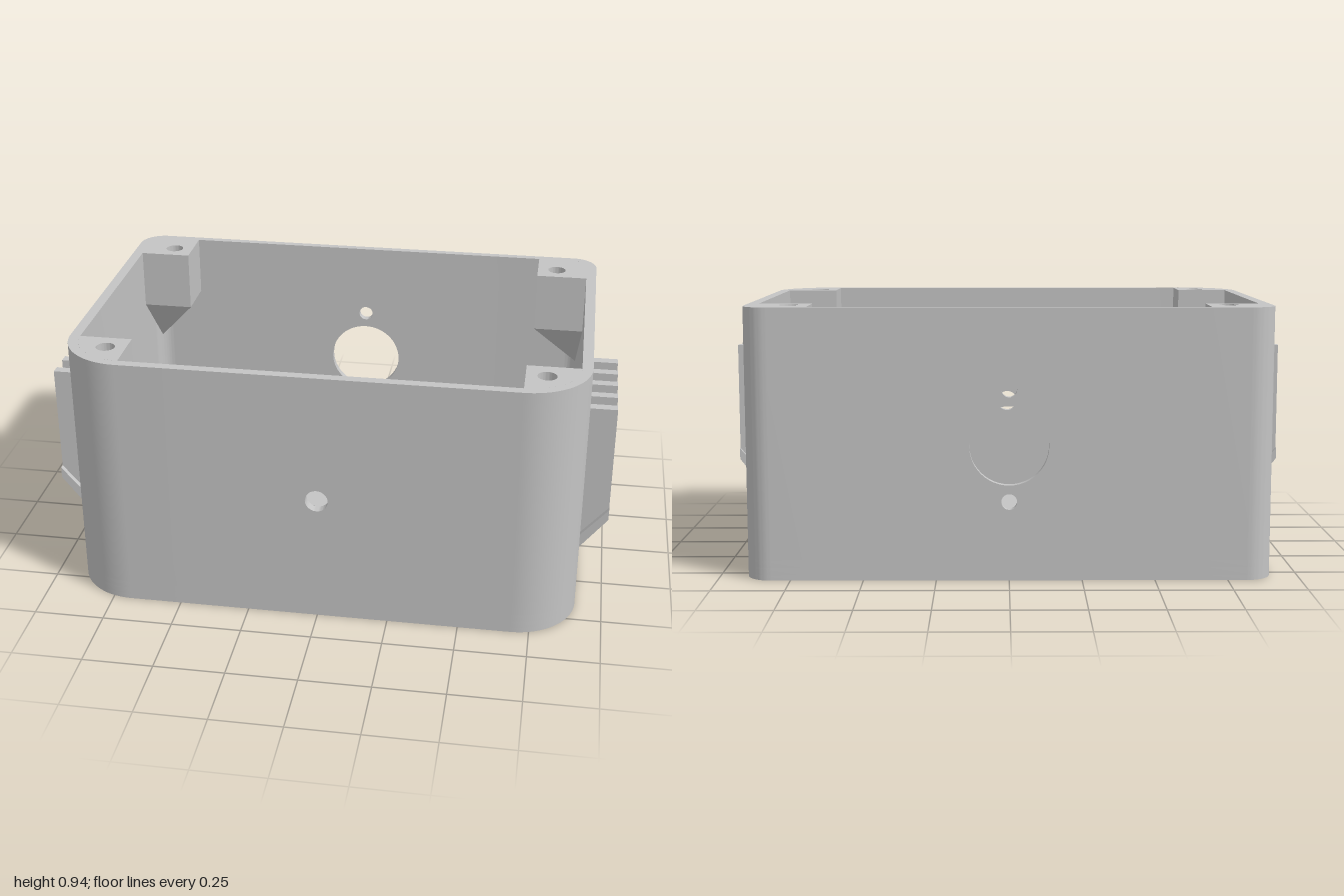
import * as THREE from 'three';
import { toCreasedNormals } from 'three/addons/utils/BufferGeometryUtils.js';
import { ConvexGeometry } from 'three/addons/geometries/ConvexGeometry.js';

const HEIGHT = 0.935, FLOOR = 0.07;
const OUTER = { x: 0.905, back: -0.612, front: 0.612, rBack: 0.09, rFront: 0.22 };
const INNER = { x: 0.868, back: -0.585, front: 0.578, rBack: 0.06, rFront: 0.178 };
const SEAM = 0.5; // where the wrapped side walls meet the flat panels
const EYE = { x: 0.418, z: 0.102 };

const grey = new THREE.MeshStandardMaterial({ color: 0xc4c4c4 });
grey.name = 'light grey plastic';

const v2 = (x, y) => new THREE.Vector2(x, y);
const mirror = (pts, s) => pts.map(p => v2(p.x * s, p.y));
const circle = (x, y, r) => new THREE.Path().absarc(x, y, r, 0, Math.PI * 2).getPoints(24).slice(0, -1);

function extrude(outline, holes, depth) {
  const pts = THREE.ShapeUtils.isClockWise(outline) ? [...outline].reverse() : outline;
  const shape = new THREE.Shape(pts);
  shape.holes = holes.map(h => new THREE.Path(h));
  return new THREE.ExtrudeGeometry(shape, { depth, bevelEnabled: false });
}

// Plan outline in (x, z) raised from y0 to y1
function slab(outline, holes, y0, y1) {
  const g = extrude(outline, holes, y1 - y0).rotateX(Math.PI / 2).translate(0, y1, 0);
  return toCreasedNormals(g, 0.5);
}

// Right-hand half of the rounded plan, from the back seam round to the front seam
function halfPlan({ x, back, front, rBack, rFront }) {
  const p = new THREE.Path();
  p.moveTo(SEAM, back);
  p.lineTo(x - rBack, back);
  p.absarc(x - rBack, back + rBack, rBack, -Math.PI / 2, 0);
  p.absarc(x - rFront, front - rFront, rFront, 0, Math.PI / 2);
  p.lineTo(SEAM, front);
  return p.getPoints(12);
}

export function createModel() {
  const model = new THREE.Group();
  model.name = 'enclosure';
  const add = (name, geometry, parent = model) => {
    const mesh = new THREE.Mesh(geometry, grey);
    mesh.name = name;
    parent.add(mesh);
    return mesh;
  };

  // Floor in three layers: outer recess, lens seat, inner pocket
  const half = halfPlan(OUTER);
  const plan = [...half, ...mirror(half, -1).reverse()];
  const pocket = new THREE.Path();
  pocket.moveTo(0.11, -0.03);
  pocket.lineTo(0.11, 0.23);
  pocket.absarc(EYE.x, EYE.z, 0.272, Math.PI - 0.492, -Math.PI + 0.492, true);
  const pocketPts = pocket.getPoints(40);
  const eyes = r => [-1, 1].map(s => circle(s * EYE.x, EYE.z, r));
  add('floorRecess', slab(plan, eyes(0.347), 0, 0.018));
  add('floorSeat', slab(plan, eyes(0.243), 0.018, 0.045));
  add('floorPocket', slab(plan, [-1, 1].map(s => mirror(pocketPts, s)), 0.045, FLOOR));

  // Raised strip running from the back wall
  add('centreStrip', new THREE.BoxGeometry(0.22, 0.03, 0.655).translate(0, FLOOR + 0.015, -0.2575));

  // Flat front and back panels with their holes
  const rect = [v2(-SEAM, FLOOR), v2(SEAM, FLOOR), v2(SEAM, HEIGHT), v2(-SEAM, HEIGHT)];
  const panel = (name, z0, z1, holes) =>
    add(name, toCreasedNormals(extrude(rect, holes, z1 - z0).translate(0, 0, z0), 0.5));
  panel('frontPanel', INNER.front, OUTER.front, [circle(0, 0.468, 0.04)]);
  panel('backPanel', OUTER.back, INNER.back,
    [circle(0, 0.466, 0.136), circle(0, 0.659, 0.027), circle(0, 0.273, 0.027)]);

  // Corner screw post with a tapered underside
  function cornerPost(s, front) {
    const zi = front ? INNER.front : INNER.back, r = front ? INNER.rFront : INNER.rBack;
    const f = front ? 1 : -1, z0 = front ? 0.4 : -0.408, x0 = 0.683, base = 0.715;
    const round = [];
    for (let i = 0; i <= 12; i++) {
      const a = (i / 12) * Math.PI / 2;
      round.push(v2(INNER.x - r + r * Math.cos(a), zi - f * r + f * r * Math.sin(a)));
    }
    const outline = mirror([v2(x0, z0), v2(INNER.x, z0), ...round, v2(x0, zi)], s)
      .filter((p, i, all) => i === 0 || p.distanceTo(all[i - 1]) > 1e-4);
    const group = new THREE.Group();
    group.name = front ? 'frontCornerPost' : 'backCornerPost';
    add('postBlock', slab(outline, [circle(s * 0.755, front ? 0.475 : -0.478, 0.033)], base, HEIGHT), group);
    const tip = round[6];
    add('postTaper', new ConvexGeometry([
      ...[v2(x0, z0), v2(INNER.x, z0), tip, v2(x0, zi)].map(p => new THREE.Vector3(s * p.x, base, p.y)),
      new THREE.Vector3(s * tip.x, 0.515, tip.y),
    ]), group);
    model.add(group);
  }

  // Hollow standoff for a screw
  const standoff = new THREE.LatheGeometry(
    [[0.03, FLOOR], [0.058, FLOOR], [0.058, 0.152], [0.03, 0.152], [0.03, FLOOR]].map(p => v2(...p)), 24);
  const standoffGeo = toCreasedNormals(standoff, 0.5);

  // Ledge and fins of the side grip, profile in (x, y)
  function sideGrip(s) {
    const group = new THREE.Group();
    group.name = s > 0 ? 'leftGrip' : 'rightGrip';
    const prism = (name, pts, z0, z1) =>
      add(name, extrude(mirror(pts, s), [], z1 - z0).translate(0, 0, z0), group);
    prism('ledge', [v2(0.9, 0.21), v2(0.905, 0.215), v2(1, 0.335), v2(1, 0.375), v2(0.9, 0.26)], -0.088, 0.358);
    for (let i = 0; i < 5; i++) {
      const z = 0.322 - i * 0.095;
      prism('fin', [v2(0.9, 0.255), v2(1, 0.37), v2(1, 0.76), v2(0.9, 0.76)], z - 0.0175, z + 0.0175);
    }
    model.add(group);
  }

  // Wrapped side walls and everything that repeats on both sides
  const wall = [...half, ...halfPlan(INNER).reverse()];
  for (const s of [1, -1]) {
    add(s > 0 ? 'leftWall' : 'rightWall', slab(mirror(wall, s), [], FLOOR, HEIGHT));
    cornerPost(s, true);
    cornerPost(s, false);
    sideGrip(s);
    add('outerStandoff', standoffGeo).position.set(s * 0.655, 0, -0.157);
    add('innerStandoff', standoffGeo).position.set(s * 0.18, 0, 0.36);
  }
  return model;
}
